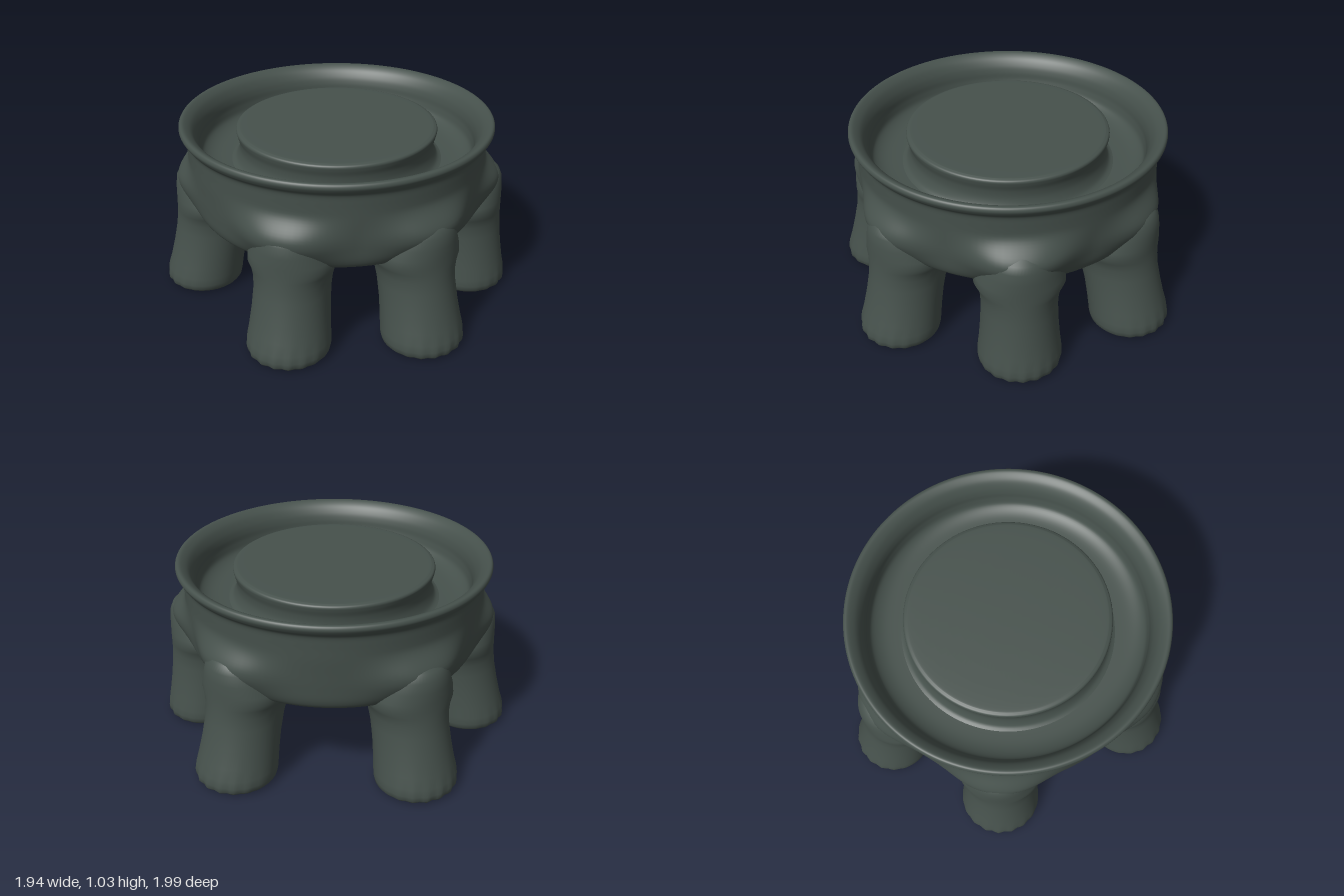
import * as THREE from 'three';
import { mergeVertices } from 'three/addons/utils/BufferGeometryUtils.js';

const stone = new THREE.MeshStandardMaterial({ color: 0x46514c });
stone.name = 'dark green stone';

// Legs: [floor x, floor z, lean towards the middle]
const LEGS = [[0, 0.77, 1], [0.645, 0.45, 0.95], [0.745, -0.25, 0.55],
  [0.275, -0.78, 1.1], [-0.65, -0.5, 1], [-0.745, 0.25, 0.95]];
const BODY_Z = -0.017;

// Drop the seam so that normals stay smooth all the way round
function smooth(geo) {
  geo.deleteAttribute('uv');
  geo.deleteAttribute('normal');
  const merged = mergeVertices(geo, 1e-4);
  merged.computeVertexNormals();
  return merged;
}

function spline(points, n) {
  return new THREE.SplineCurve(points.map(([x, y]) => new THREE.Vector2(x, y)))
    .getPoints(n).map(p => new THREE.Vector2(Math.max(p.x, 0), p.y));
}

// Bowl: underside, skirt, wall, rolled rim and the channel
function bowlGeometry() {
  const profile = spline([
    [0, 0.51], [0.35, 0.508], [0.6, 0.505], [0.73, 0.507], [0.78, 0.525], [0.805, 0.57], [0.815, 0.65],
    [0.822, 0.74], [0.828, 0.82], [0.831, 0.9], [0.836, 0.955], [0.858, 0.985], [0.87, 1.01],
    [0.862, 1.03], [0.84, 1.03], [0.805, 1.005], [0.78, 0.965], [0.768, 0.925], [0.762, 0.88],
    [0.745, 0.835], [0.69, 0.805], [0.6, 0.795], [0.5, 0.795]
  ], 120);
  const geo = new THREE.LatheGeometry(profile, 160);
  const p = geo.attributes.position;
  // Swell the wall softly around each leg
  for (let i = 0; i < p.count; i++) {
    const x = p.getX(i), y = p.getY(i), z = p.getZ(i), r = Math.hypot(x, z);
    if (y > 0.86 || r < 0.77) continue;
    const angle = Math.atan2(x, z);
    let bump = 0;
    for (const [lx, lz, lean] of LEGS) {
      const d = angle - Math.atan2(lx, lz - BODY_Z);
      const a = Math.atan2(Math.sin(d), Math.cos(d));
      bump = Math.max(bump, (0.13 - 0.05 * lean) * Math.exp(-Math.pow(Math.abs(a) / 0.3, 2.5)));
    }
    const rise = THREE.MathUtils.smoothstep(y, 0.5, 0.68);
    const fade = 1 - THREE.MathUtils.smoothstep(y, 0.69, 0.85);
    const k = 1 + bump * rise * fade / r;
    p.setXYZ(i, x * k, y, z * k);
  }
  return smooth(geo);
}

// Leg: stacked sections [y, shift inward, half width, outer depth, inner depth]
function legGeometry(lean) {
  const sections = [
    [0, 0, 0.185, 0.182, 0.182], [0.006, 0, 0.206, 0.203, 0.203], [0.022, 0, 0.22, 0.216, 0.216],
    [0.05, 0.002, 0.226, 0.22, 0.22], [0.09, 0.008, 0.224, 0.22, 0.22], [0.15, 0.023, 0.216, 0.216, 0.216],
    [0.25, 0.047, 0.207, 0.213, 0.213], [0.36, 0.072, 0.202, 0.213, 0.222], [0.43, 0.083, 0.206, 0.214, 0.245],
    [0.48, 0.088, 0.22, 0.215, 0.29], [0.515, 0.09, 0.24, 0.215, 0.33], [0.56, 0.091, 0.235, 0.215, 0.33],
    [0.62, 0.092, 0.215, 0.215, 0.3], [0.68, 0.097, 0.2, 0.213, 0.25], [0.72, 0.108, 0.182, 0.202, 0.2],
    [0.755, 0.13, 0.155, 0.178, 0.17], [0.78, 0.165, 0.12, 0.13, 0.13]
  ];
  const N = 72, pos = [], index = [];
  sections.forEach(([y, shift, w, outer, inner]) => {
    for (let i = 0; i < N; i++) {
      const a = i / N * Math.PI * 2, c = Math.cos(a);
      // Small scallops round the outer toe edge
      const toe = Math.max(0, c) * Math.max(0, 1 - y / 0.12);
      const k = 1 + 0.03 * toe * Math.cos(a * 18);
      pos.push(Math.sin(a) * w * k, y, c * (c > 0 ? outer : inner) * k - shift * lean);
    }
  });
  for (let s = 0; s < sections.length - 1; s++)
    for (let i = 0; i < N; i++) {
      const a = s * N + i, b = s * N + (i + 1) % N;
      index.push(a, b, b + N, a, b + N, a + N);
    }
  const geo = new THREE.BufferGeometry();
  geo.setAttribute('position', new THREE.Float32BufferAttribute(pos, 3));
  geo.setIndex(index);
  geo.computeVertexNormals();
  return geo;
}

export function createModel() {
  const model = new THREE.Group();
  model.name = 'six legged bowl stand';
  const add = (geo, name, parent = model) => {
    const mesh = new THREE.Mesh(geo, stone);
    mesh.name = name;
    parent.add(mesh);
    return mesh;
  };

  add(bowlGeometry(), 'bowl').position.z = BODY_Z;

  // Raised round plate standing in the channel
  const plate = spline([[0.6, 0.79], [0.565, 0.81], [0.545, 0.86], [0.545, 0.91], [0.556, 0.95],
    [0.559, 0.972], [0.545, 0.984], [0.5, 0.988], [0.25, 0.989], [0, 0.989]], 50);
  add(smooth(new THREE.LatheGeometry(plate, 96)), 'centrePlate').position.z = BODY_Z;

  // Splayed legs with flat soles
  const soleGeo = new THREE.CircleGeometry(1, 72).rotateX(Math.PI / 2).scale(0.188, 1, 0.185);
  for (const [x, z, lean] of LEGS) {
    const leg = new THREE.Group();
    leg.name = 'leg';
    leg.position.set(x, 0, z);
    leg.rotation.y = Math.atan2(x, z - BODY_Z);
    add(legGeometry(lean), 'legColumn', leg);
    add(soleGeo, 'sole', leg);
    model.add(leg);
  }
  return model;
}
